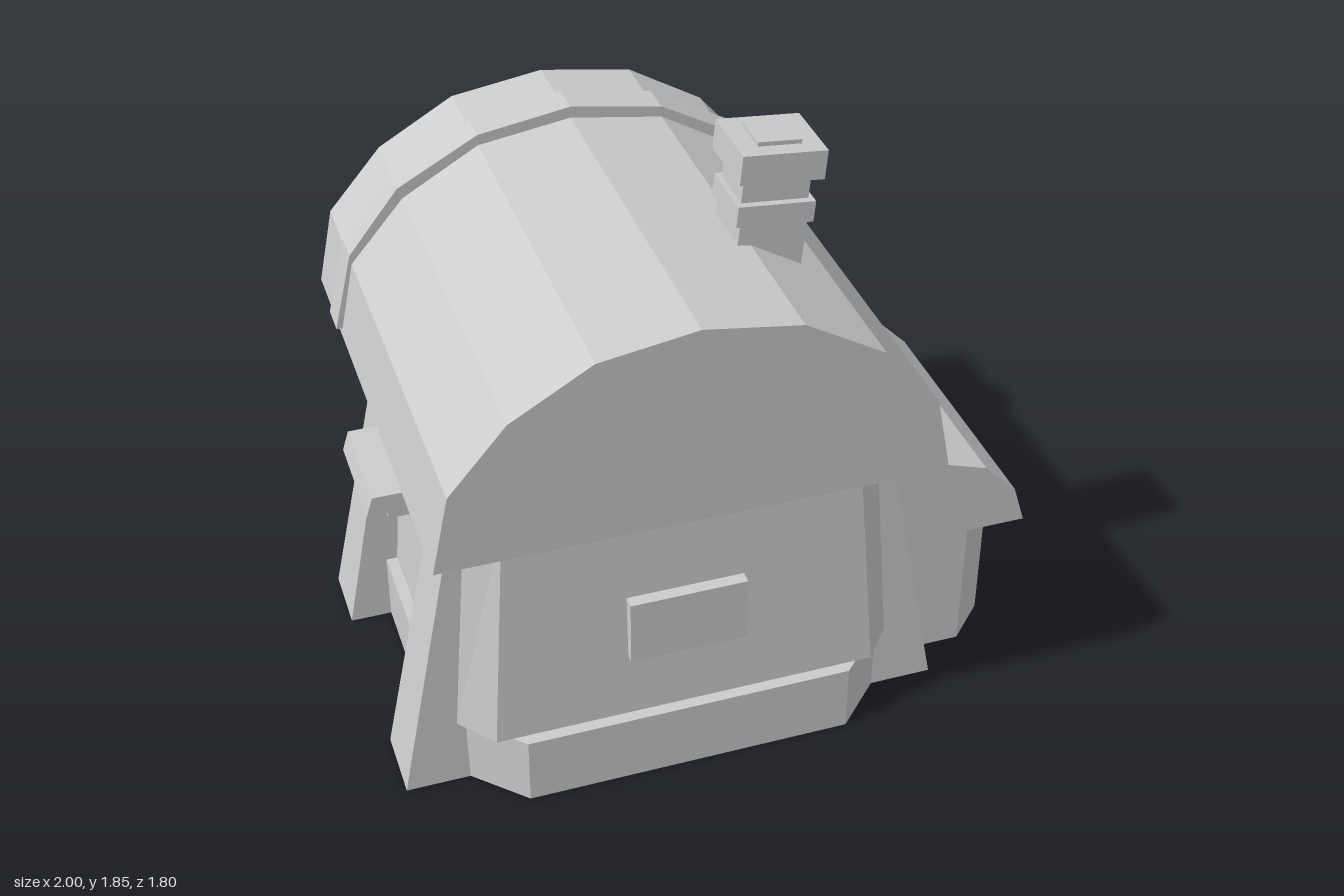
import * as THREE from 'three';

const stone = new THREE.MeshStandardMaterial({ color: 0xcccccc, flatShading: true, side: THREE.DoubleSide });
stone.name = 'plainStone';

function add(parent, name, geometry, x = 0, y = 0, z = 0) {
  const mesh = new THREE.Mesh(geometry, stone);
  mesh.name = name;
  mesh.position.set(x, y, z);
  parent.add(mesh);
  return mesh;
}

// Box given by its minimum and maximum on each axis
function box(parent, name, x0, x1, y0, y1, z0, z1) {
  const geometry = new THREE.BoxGeometry(x1 - x0, y1 - y0, z1 - z0);
  return add(parent, name, geometry, (x0 + x1) / 2, (y0 + y1) / 2, (z0 + z1) / 2);
}

// Plain rectangle, counter-clockwise from above
function rect(y, x0, x1, z0, z1) {
  return [[x1, y, z1], [x1, y, z0], [x0, y, z0], [x0, y, z1]];
}

// Rectangle with cut corners: [cx, cz] front and back cuts
function ring(y, x0, x1, z0, z1, [fx, fz], [bx, bz] = [fx, fz]) {
  return [
    [x1 - fx, y, z1], [x1, y, z1 - fz], [x1, y, z0 + bz], [x1 - bx, y, z0],
    [x0 + bx, y, z0], [x0, y, z0 + bz], [x0, y, z1 - fz], [x0 + fx, y, z1],
  ];
}

// Sides and top between a lower and an upper ring, with an optional floor
function loft(lower, upper, floor = false) {
  const points = [];
  const n = lower.length;
  for (let i = 0; i < n; i++) {
    const j = (i + 1) % n;
    points.push(lower[i], lower[j], upper[j], lower[i], upper[j], upper[i]);
  }
  for (let i = 1; i < n - 1; i++) {
    points.push(upper[0], upper[i], upper[i + 1]);
    if (floor) points.push(lower[0], lower[i + 1], lower[i]);
  }
  const geometry = new THREE.BufferGeometry();
  geometry.setAttribute('position', new THREE.Float32BufferAttribute(points.flat(), 3));
  geometry.computeVertexNormals();
  return geometry;
}

// Box without a floor
function openBox(parent, name, x0, x1, y0, y1, z0, z1) {
  return add(parent, name, loft(rect(y0, x0, x1, z0, z1), rect(y1, x0, x1, z0, z1)));
}

// Profile in x and y, extruded from z0 to z1
function slab(parent, name, profile, z0, z1) {
  const shape = new THREE.Shape(profile.map(([x, y]) => new THREE.Vector2(x, y)));
  const geometry = new THREE.ExtrudeGeometry(shape, { depth: z1 - z0, bevelEnabled: false });
  return add(parent, name, geometry, 0, 0, z0);
}

// Mirror a half arch (edge to crown) about the house axis
const AXIS = -0.16;
function arch(half) {
  const right = half.map(([x, y]) => [AXIS + x, y]);
  const left = half.slice(0, -1).reverse().map(([x, y]) => [AXIS - x, y]);
  return [...right, ...left];
}

export function createModel() {
  const house = new THREE.Group();
  house.name = 'cottage';

  // Hollow foundation and sloping walls
  const footing = y => ring(y, -0.87, 0.55, -0.59, 0.86, [0.21, 0.21]);
  add(house, 'foundation', loft(footing(0), footing(0.22)));
  add(house, 'walls', loft(
    ring(0.221, -0.835, 0.515, -0.56, 0.825, [0.09, 0.11], [0.14, 0.1]),
    ring(0.97, -0.775, 0.455, -0.51, 0.78, [0.085, 0.085], [0.13, 0.09]),
    true));

  // Leaning buttresses, two on each side
  const spans = [[-0.3, -0.08, -0.24, -0.095], [0.49, 0.715, 0.51, 0.695]];
  for (const side of [-1, 1]) {
    for (const [b0, b1, t0, t1] of spans) {
      const level = (y, inner, outer, z0, z1) => {
        const xs = [AXIS + side * inner, AXIS + side * outer].sort((p, q) => p - q);
        return rect(y, xs[0], xs[1], z0, z1);
      };
      add(house, 'buttress', loft(level(0, 0.64, 0.84, b0, b1), level(0.97, 0.5, 0.65, t0, t1)));
    }
  }

  // Barrel roof with a raised band near the back
  slab(house, 'roof', arch([
    [0.75, 0.955], [0.7, 1.2], [0.53, 1.4], [0.29, 1.54], [0, 1.585],
  ]), -0.64, 0.9);
  slab(house, 'roofBand', arch([
    [0.765, 0.975], [0.705, 1.23], [0.545, 1.435], [0.29, 1.575], [0, 1.622],
  ]), -0.415, -0.31);

  // Crooked chimney
  const chimney = new THREE.Group();
  chimney.name = 'chimney';
  chimney.position.set(0.192, 1.55, 0.39);
  chimney.rotation.z = -0.09;
  house.add(chimney);
  const courses = [
    ['chimneyShaft', 0.2, 0.18, -0.2, 0.06], ['chimneyCollar', 0.23, 0.2, 0.05, 0.115],
    ['chimneyNeck', 0.2, 0.155, 0.11, 0.2], ['chimneyCap', 0.25, 0.225, 0.19, 0.28],
    ['chimneyTop', 0.13, 0.125, 0.28, 0.293],
  ];
  for (const [name, w, d, y0, y1] of courses) {
    box(chimney, name, -w / 2, w / 2, y0, y1, -d / 2, d / 2);
  }

  // Side annex with a half-arched roof
  const annex = y => ring(y, 0.5, 0.95, -0.17, 0.6, [0.12, 0.12]);
  add(house, 'annex', loft(annex(0), annex(0.48)));
  slab(house, 'annexRoof', [
    [0.4, 0.47], [1, 0.47], [0.96, 0.595], [0.855, 0.7], [0.69, 0.755], [0.4, 0.755],
  ], -0.21, 0.635);

  // Front shutter and side window awning
  box(house, 'frontShutter', -0.34, 0.015, 0.43, 0.64, 0.75, 0.838);
  slab(house, 'awning', [
    [-0.97, 0.665], [-0.75, 0.665], [-0.75, 0.73], [-0.95, 0.73],
  ], -0.11, 0.24);
  box(house, 'awningBracket', -0.885, -0.75, 0.54, 0.68, 0.03, 0.11);

  // Back doorway
  const DOOR = -0.27;
  box(house, 'door', DOOR - 0.2, DOOR + 0.2, 0.22, 0.76, -0.6, -0.5);
  for (const side of [-1, 1]) {
    const x = DOOR + side * 0.24;
    openBox(house, 'doorPost', x - 0.05, x + 0.05, 0.22, 0.76, -0.665, -0.5);
    const peg = x + side * 0.02;
    openBox(house, 'doorPeg', peg - 0.025, peg + 0.025, 0.71, 0.755, -0.695, -0.6);
  }
  slab(house, 'lintel', [
    [DOOR - 0.32, 0.74], [DOOR + 0.32, 0.74], [DOOR + 0.29, 0.85], [DOOR - 0.29, 0.85],
  ], -0.677, -0.5);
  box(house, 'lintelPlank', DOOR - 0.18, DOOR + 0.18, 0.845, 0.897, -0.692, -0.5);
  openBox(house, 'doorHandle', DOOR - 0.17, DOOR - 0.11, 0.535, 0.585, -0.69, -0.58);

  // Doorsteps, each one deep block in front of the next
  [[0.22, -0.7, -0.58], [0.145, -0.8, -0.7], [0.07, -0.9, -0.8]].forEach(([y, z0, z1]) =>
    openBox(house, 'doorstep', -0.56, 0, 0, y, z0, z1));

  // Tilted little window beside the door
  const hatch = new THREE.Group();
  hatch.name = 'tiltedWindow';
  hatch.position.set(0.26, 0.615, 0);
  hatch.rotation.z = 0.6;
  house.add(hatch);
  openBox(hatch, 'windowFrame', -0.065, 0.065, -0.1, 0.1, -0.667, -0.5);
  openBox(hatch, 'windowPane', -0.04, 0.04, -0.065, 0.065, -0.703, -0.66);

  // Faceted barrel
  const staves = [[0.095, 0], [0.137, 0.09], [0.137, 0.19], [0.1, 0.25], [0, 0.285]];
  add(house, 'barrel', new THREE.LatheGeometry(
    staves.map(([r, y]) => new THREE.Vector2(r, y)), 7, Math.PI + 0.36), -0.705, 0, -0.717);

  return house;
}
